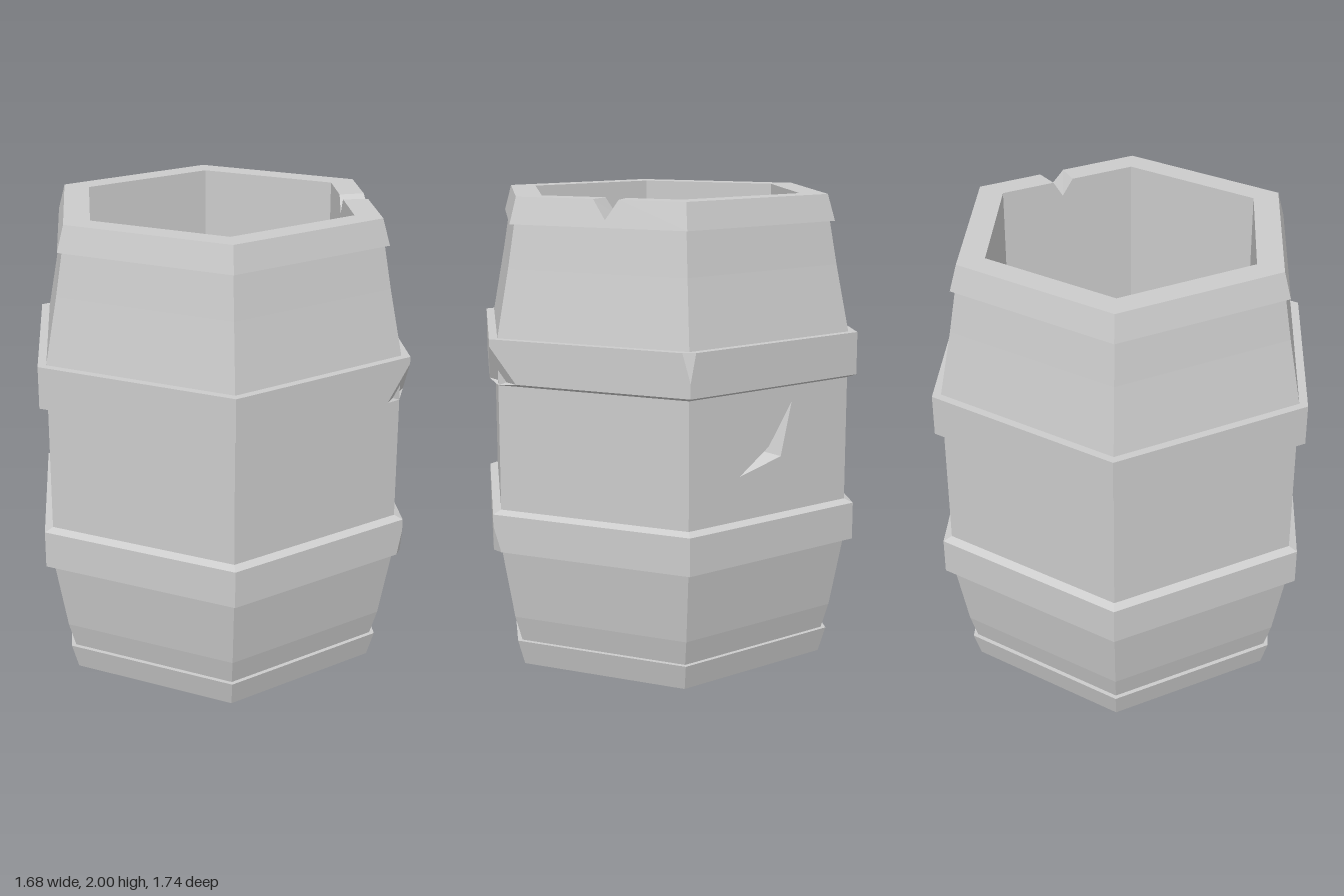
import * as THREE from 'three';

const START = THREE.MathUtils.degToRad(11);
const SIDES = [0, 1, 2, 3, 4, 5];

// Corner k of a six-sided ring, and a point a fraction t along side k
const at = (k, r, y) => {
  const a = START + (k * Math.PI) / 3;
  return new THREE.Vector3(r * Math.sin(a), y, r * Math.cos(a));
};
const along = (k, r, y, t) => at(k, r, y).lerp(at(k + 1, r, y), t);

// Collects flat polygons (anticlockwise from outside, optional hole) into one mesh
function builder(name) {
  const pos = [];
  const poly = (pts, hole = []) => {
    const n = new THREE.Vector3();
    pts.forEach((p, i) => n.add(p.clone().cross(pts[(i + 1) % pts.length])));
    n.normalize();
    const u = pts[1].clone().sub(pts[0]).normalize();
    const v = n.clone().cross(u);
    const flat = (list) => list.map((p) => new THREE.Vector2(p.dot(u), p.dot(v)));
    const all = [...pts, ...hole];
    const tris = THREE.ShapeUtils.triangulateShape(flat(pts), hole.length ? [flat(hole)] : []);
    for (const [a, b, c] of tris) {
      const m = all[b].clone().sub(all[a]).cross(all[c].clone().sub(all[a]));
      for (const i of m.dot(n) < 0 ? [a, c, b] : [a, b, c]) pos.push(...all[i].toArray());
    }
  };
  // One side of the ring between two profile points [radius, y]
  const panel = (k, [r0, y0], [r1, y1], hole) =>
    poly([at(k, r0, y0), at(k + 1, r0, y0), at(k + 1, r1, y1), at(k, r1, y1)], hole);
  const mesh = () => {
    const g = new THREE.BufferGeometry();
    g.setAttribute('position', new THREE.Float32BufferAttribute(pos, 3));
    g.computeVertexNormals();
    const m = new THREE.Mesh(g, new THREE.MeshStandardMaterial({ color: 0xcccccc, flatShading: true }));
    m.name = name;
    return m;
  };
  return { poly, panel, mesh };
}

// Bulging staves, with a gouge in one side
function staves() {
  const b = builder('staves');
  const profile = [[0.755, 0.11], [0.788, 0.22], [0.846, 0.53], [0.846, 1.43], [0.788, 1.71], [0.755, 1.89]];
  const gouge = [[0.308, 0.89], [0.568, 0.945], [0.633, 1.17], [0.49, 0.995]]
    .map(([t, y]) => along(1, 0.846, y, t));
  const deep = along(1, 0.78, 0.965, 0.5);
  for (const k of SIDES) {
    for (let i = 0; i < profile.length - 1; i++) {
      b.panel(k, profile[i], profile[i + 1], k === 1 && i === 2 ? gouge : []);
    }
  }
  gouge.forEach((p, i) => b.poly([p, gouge[(i + 1) % 4], deep]));
  return b.mesh();
}

// Raised hoop; a chip cuts a corner from its top or bottom edge down to a tip
function hoop(name, [inLow, low, high, inHigh], chips) {
  const b = builder(name);
  const r = low[0];
  const chipAt = (k, top) => chips.find((c) => c.corner === k % 6 && (top === undefined || c.top === top));
  const edge = (k, top) => {
    const y = top ? high[1] : low[1];
    return [
      along(k, r, y, chipAt(k, top)?.next ?? 0),
      along(k, r, y, 1 - (chipAt(k + 1, top)?.prev ?? 0)),
    ];
  };
  for (const k of SIDES) {
    const [s0, e0] = edge(k, false);
    const [s1, e1] = edge(k, true);
    const tip = (j) => (chipAt(j) ? [at(j, r, chipAt(j).tip)] : []);
    b.poly([s0, e0, ...tip(k + 1), e1, s1, ...tip(k)]);
    b.poly([at(k, ...inLow), at(k + 1, ...inLow), e0, s0]);
    b.poly([s1, e1, at(k + 1, ...inHigh), at(k, ...inHigh)]);
  }
  for (const { corner, top, tip } of chips) {
    const left = edge(corner + 5, top)[1];
    const right = edge(corner, top)[0];
    const point = at(corner, r, tip);
    const inner = at(corner, ...(top ? inHigh : inLow));
    b.poly(top ? [point, right, left] : [left, right, point]);
    b.poly(top ? [left, right, inner] : [inner, right, left]);
  }
  return b.mesh();
}

// Foot band and closed base
function foot() {
  const b = builder('footBand');
  for (const k of SIDES) {
    b.panel(k, [0.744, 0], [0.777, 0.11]);
    b.panel(k, [0.777, 0.11], [0.755, 0.11]);
  }
  b.poly(SIDES.map((k) => at(-k, 0.744, 0)));
  return b.mesh();
}

// Top band, rim and hollow inside, with a V-shaped nick through one side
function rim() {
  const b = builder('rimAndInside');
  const under = [0.755, 1.89], band = [0.777, 1.89], outer = [0.744, 2], inner = [0.62, 2], floor = [0.62, 0.12];
  for (const k of SIDES) {
    b.panel(k, under, band);
    if (k === 0) continue;
    b.panel(k, band, outer);
    b.panel(k, outer, inner);
    b.panel(k, inner, floor);
  }
  b.poly(SIDES.map((k) => at(k, ...floor)));

  const nick = (r, tipR, tipY) => [along(0, r, 2, 0.465), along(0, tipR, tipY, 0.545), along(0, r, 2, 0.615)];
  const [oL, oTip, oR] = nick(0.744, 0.768, 1.92);
  const [iL, iTip, iR] = nick(0.62, 0.62, 1.93);
  b.poly([at(0, ...band), at(1, ...band), at(1, ...outer), oR, oTip, oL, at(0, ...outer)]);
  b.poly([at(0, ...inner), iL, iTip, iR, at(1, ...inner), at(1, ...floor), at(0, ...floor)]);
  b.poly([at(0, ...outer), oL, iL, at(0, ...inner)]);
  b.poly([oR, at(1, ...outer), at(1, ...inner), iR]);
  b.poly([oL, oTip, iTip, iL]);
  b.poly([oTip, oR, iR, iTip]);
  return b.mesh();
}

export function createModel() {
  const barrel = new THREE.Group();
  barrel.name = 'barrel';
  barrel.add(
    staves(),
    foot(),
    rim(),
    hoop('lowerHoop', [[0.846, 0.53], [0.886, 0.53], [0.886, 0.69], [0.846, 0.705]], [
      { corner: 0, top: false, tip: 0.64, prev: 0.03, next: 0.04 },
    ]),
    hoop('upperHoop', [[0.846, 1.235], [0.886, 1.25], [0.886, 1.43], [0.846, 1.43]], [
      { corner: 0, top: false, tip: 1.4, prev: 0.13, next: 0.136 },
      { corner: 1, top: true, tip: 1.31, prev: 0.04, next: 0.03 },
    ]),
  );
  return barrel;
}
